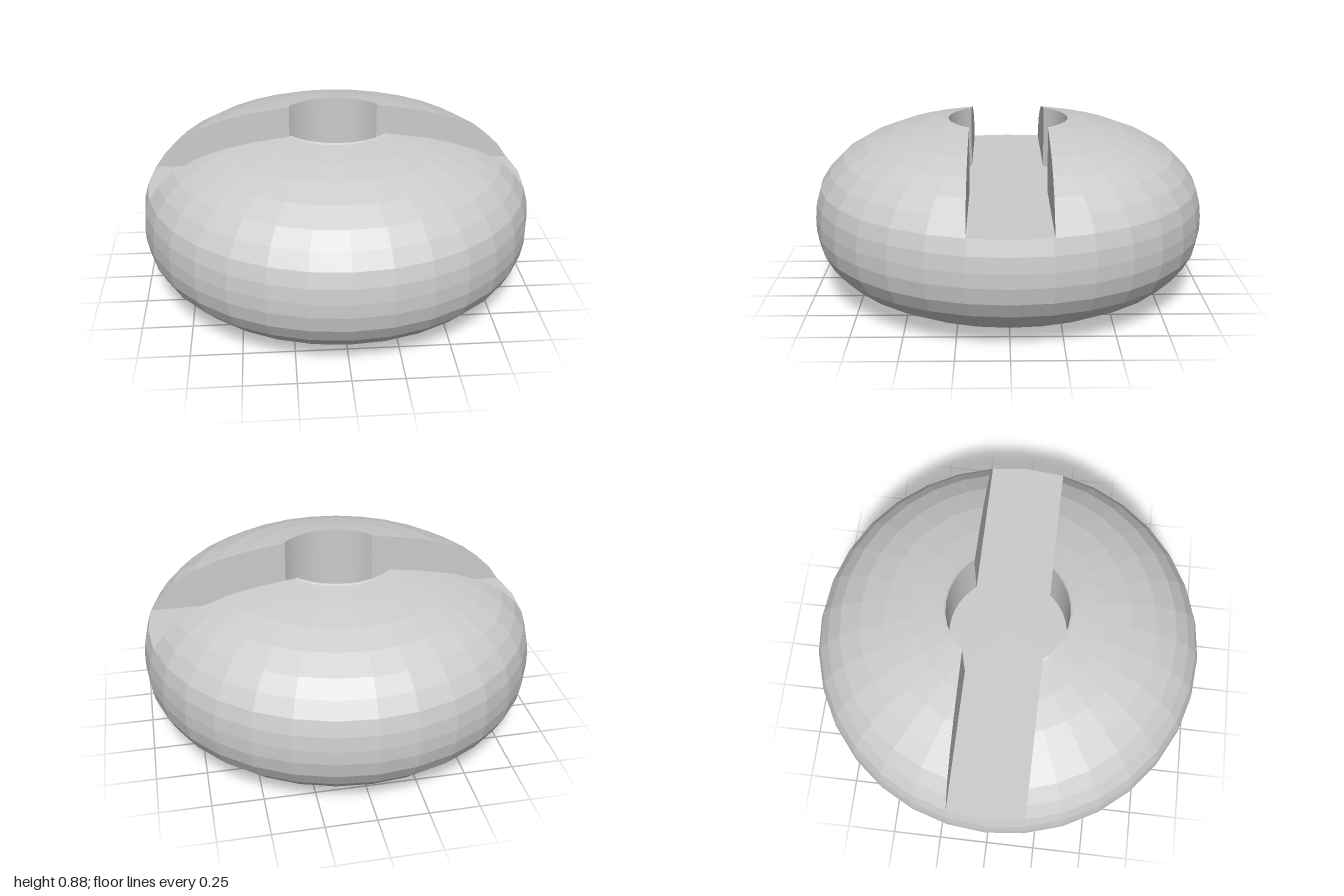
import * as THREE from 'three';

const SEGMENTS = 32, FLOOR = 0.56, HALF_SLOT = 0.195, HOLE = 0.305, TOP = 0.885;

const lathe = (pts) =>
  new THREE.LatheGeometry(pts.map(([r, y]) => new THREE.Vector2(r, y)), SEGMENTS).toNonIndexed();

// Keeps the part of a geometry beyond z = HALF_SLOT and drops a wall from the cut edge to the floor
function cutLobe(geometry) {
  const pos = geometry.attributes.position, out = [];
  const tri = (a, b, c) => out.push(...a.toArray(), ...b.toArray(), ...c.toArray());
  for (let i = 0; i < pos.count; i += 3) {
    const corners = [0, 1, 2].map((k) => new THREE.Vector3().fromBufferAttribute(pos, i + k));
    const kept = [], cut = [];
    corners.forEach((a, k) => {
      const b = corners[(k + 1) % 3];
      const da = a.z - HALF_SLOT, db = b.z - HALF_SLOT;
      if (da >= 0) kept.push(a);
      if ((da >= 0) !== (db >= 0)) {
        const p = a.clone().lerp(b, da / (da - db));
        kept.push(p);
        cut.push(p);
      }
    });
    for (let k = 2; k < kept.length; k++) tri(kept[0], kept[k - 1], kept[k]);
    if (cut.length === 2) {
      const [p, q] = cut.sort((a, b) => a.x - b.x);
      const pf = p.clone().setY(FLOOR), qf = q.clone().setY(FLOOR);
      tri(pf, p, q);
      tri(pf, q, qf);
    }
  }
  const result = new THREE.BufferGeometry();
  result.setAttribute('position', new THREE.Float32BufferAttribute(out, 3));
  result.computeVertexNormals();
  return result;
}

export function createModel() {
  const model = new THREE.Group();
  const faceted = new THREE.MeshStandardMaterial({ color: 0xcccccc, flatShading: true });
  const inner = new THREE.MeshStandardMaterial({ color: 0xcccccc, side: THREE.BackSide });
  const add = (parent, name, geometry, material) => {
    const mesh = new THREE.Mesh(geometry, material);
    mesh.name = name;
    parent.add(mesh);
  };

  // Lower body, closed by the flat slot floor
  add(model, 'base', lathe([
    [0, 0], [0.62, 0], [0.76, 0.05], [0.87, 0.11], [0.945, 0.185], [0.985, 0.26],
    [1, 0.34], [1, 0.41], [0.992, 0.485], [0.97, FLOOR], [0, FLOOR],
  ]), faceted);

  // Two domed lobes on either side of the slot, each with half of the round centre hole
  const lobe = cutLobe(lathe([
    [0.97, FLOOR], [0.92, 0.635], [0.85, 0.705], [0.74, 0.77],
    [0.61, 0.82], [0.47, 0.853], [HOLE + 0.01, TOP - 0.006], [HOLE, TOP],
  ]));
  const arc = Math.acos(HALF_SLOT / HOLE);
  const holeWall = new THREE.CylinderGeometry(HOLE, HOLE, TOP - FLOOR, 24, 1, true, -arc, 2 * arc);
  holeWall.translate(0, (TOP + FLOOR) / 2, 0);
  for (const [name, turn] of [['frontLobe', 0], ['backLobe', Math.PI]]) {
    const half = new THREE.Group();
    half.name = name;
    half.rotation.y = turn;
    add(half, 'dome', lobe, faceted);
    add(half, 'holeWall', holeWall, inner);
    model.add(half);
  }
  return model;
}
